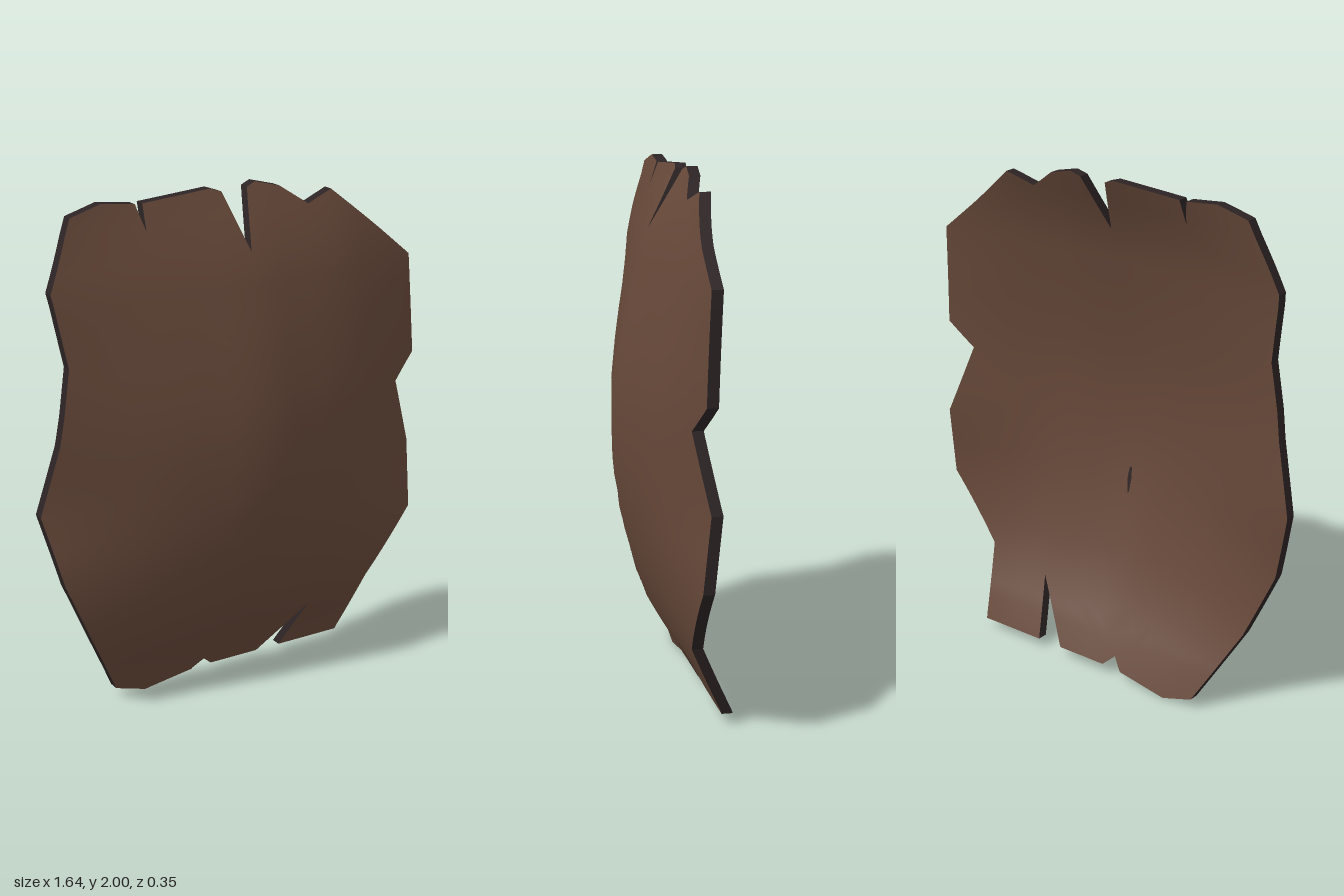
import * as THREE from 'three';

const THICKNESS = 0.042;

// Ragged outline, counter-clockwise in front view
const OUTLINE = [
  [-0.48, 0.04], [-0.35, 0], [-0.14, 0.035], [-0.095, 0.08], [-0.05, 0.04], [0.165, 0.04],
  [0.34, 0.26], [0.275, 0.04], [0.555, 0.04], [0.615, 0.32], [0.82, 0.59], [0.82, 0.87],
  [0.72, 1.15], [0.82, 1.25], [0.8, 1.65], [0.45, 1.94], [0.335, 1.9], [0.225, 1.975],
  [0.125, 2], [0.085, 1.985], [0.035, 1.77], [-0.025, 1.98], [-0.07, 1.995], [-0.355, 1.975],
  [-0.36, 1.88], [-0.385, 1.975], [-0.52, 1.99], [-0.645, 1.955], [-0.75, 1.7], [-0.705, 1.43],
  [-0.75, 1.14], [-0.82, 0.87], [-0.75, 0.59], [-0.63, 0.32]
].map(([x, y]) => new THREE.Vector2(x, y));

// Depth profiles: crest up the middle, rim up the sides, and the blend across
const CREST = [[0, -0.135], [0.04, -0.13], [0.32, 0.04], [0.6, 0.13], [0.87, 0.18], [1.14, 0.18], [1.43, 0.13], [1.77, 0.04], [2, -0.085]];
const RIM = [[0, -0.135], [0.05, -0.135], [0.32, -0.035], [0.59, -0.005], [0.87, -0.035], [1.25, -0.015], [1.65, -0.035], [1.9, -0.08], [2, -0.085]];
const ACROSS = [[-0.82, 0], [-0.63, 0.3], [-0.36, 0.67], [0.03, 1], [0.22, 0.83], [0.42, 0.72], [0.82, 0.03]];

function sample(profile, t) {
  let i = 0;
  while (i < profile.length - 2 && t > profile[i + 1][0]) i++;
  const [a, va] = profile[i], [b, vb] = profile[i + 1];
  return THREE.MathUtils.lerp(va, vb, THREE.MathUtils.clamp((t - a) / (b - a), 0, 1));
}

function depth(x, y) {
  return THREE.MathUtils.lerp(sample(RIM, y), sample(CREST, y), sample(ACROSS, x));
}

// Smooth normal of the bulge, averaged over a wide span
function normalAt(x, y) {
  const h = 0.13, y0 = Math.max(0, y - h), y1 = Math.min(2, y + h);
  const x0 = Math.max(-0.82, x - h), x1 = Math.min(0.82, x + h);
  return new THREE.Vector3(
    -(depth(x1, y) - depth(x0, y)) / (x1 - x0),
    -(depth(x, y1) - depth(x, y0)) / (y1 - y0), 1).normalize();
}

function geometryFrom(positions, normals) {
  const g = new THREE.BufferGeometry();
  g.setAttribute('position', new THREE.Float32BufferAttribute(positions, 3));
  if (normals) g.setAttribute('normal', new THREE.Float32BufferAttribute(normals, 3));
  else g.computeVertexNormals();
  return g;
}

// Fill an outline, split it finely and press it onto the bulge
function skin(outline, levels, offset, facesBack) {
  const positions = [], normals = [];
  const split = (a, b, c, level) => {
    if (level > 0) {
      const ab = a.clone().lerp(b, 0.5), bc = b.clone().lerp(c, 0.5), ca = c.clone().lerp(a, 0.5);
      split(a, ab, ca, level - 1);
      split(ab, b, bc, level - 1);
      split(ca, bc, c, level - 1);
      split(ab, bc, ca, level - 1);
      return;
    }
    for (const p of facesBack ? [a, c, b] : [a, b, c]) {
      const n = normalAt(p.x, p.y).multiplyScalar(facesBack ? -1 : 1);
      positions.push(p.x, p.y, depth(p.x, p.y) + offset);
      normals.push(n.x, n.y, n.z);
    }
  };
  for (const [i, j, k] of THREE.ShapeUtils.triangulateShape(outline, [])) {
    split(outline[i], outline[j], outline[k], levels);
  }
  return geometryFrom(positions, normals);
}

// Wall joining front and back around the outline
function wall(steps) {
  const positions = [];
  OUTLINE.forEach((a, i) => {
    const b = OUTLINE[(i + 1) % OUTLINE.length];
    for (let s = 0; s < steps; s++) {
      const p = a.clone().lerp(b, s / steps), q = a.clone().lerp(b, (s + 1) / steps);
      const zp = depth(p.x, p.y), zq = depth(q.x, q.y);
      const pf = [p.x, p.y, zp], pb = [p.x, p.y, zp - THICKNESS];
      const qf = [q.x, q.y, zq], qb = [q.x, q.y, zq - THICKNESS];
      positions.push(...pf, ...pb, ...qb, ...pf, ...qb, ...qf);
    }
  });
  return geometryFrom(positions);
}

export function createModel() {
  const group = new THREE.Group();
  group.name = 'barkPlate';
  const brown = new THREE.MeshStandardMaterial({ color: 0x664839 });
  brown.name = 'brown';
  const dark = new THREE.MeshStandardMaterial({ color: 0x2c2324 });
  dark.name = 'darkBrown';

  const add = (name, geometry, material) => {
    const mesh = new THREE.Mesh(geometry, material);
    mesh.name = name;
    group.add(mesh);
  };
  add('frontSkin', skin(OUTLINE, 4, 0, false), brown);
  add('backSkin', skin(OUTLINE, 4, -THICKNESS, true), brown);
  add('brokenEdge', wall(16), dark);

  // Thin crack on the hollow side
  const crack = [[0.03, 0.64], [0.04, 0.72], [0.03, 0.83], [0.022, 0.72]].map(([x, y]) => new THREE.Vector2(x, y));
  add('backCrack', skin(crack, 2, -THICKNESS - 0.004, true), dark);
  return group;
}
